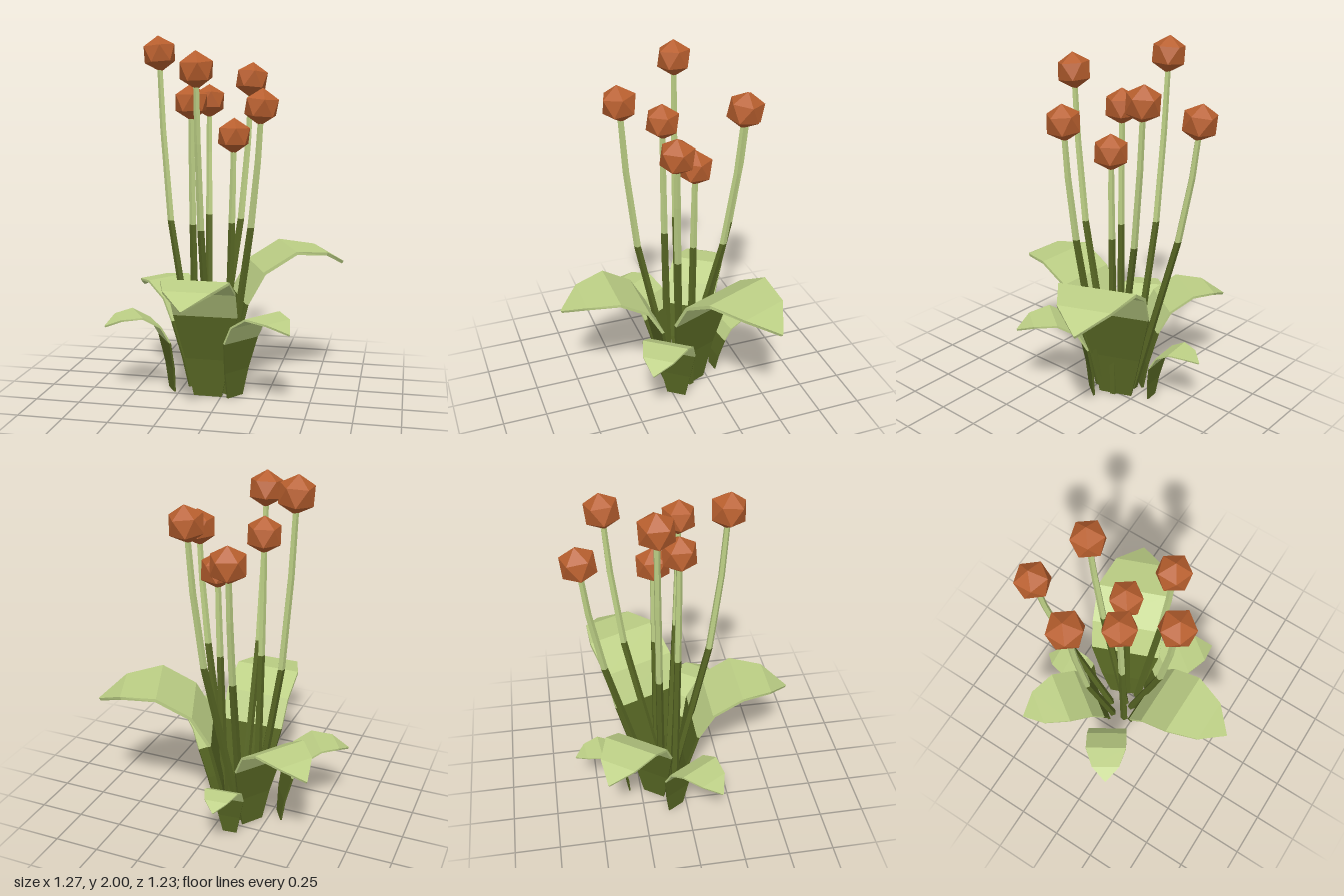
import * as THREE from 'three';

const mat = (name, color) =>
  Object.assign(new THREE.MeshStandardMaterial({ color, flatShading: true }), { name });

// Closed skin over rings of points; rings run counterclockwise about the path.
function loft(rings) {
  const pos = [];
  const tri = (...pts) => pts.forEach((p) => pos.push(p.x, p.y, p.z));
  const n = rings[0].length;
  for (let k = 0; k + 1 < rings.length; k++) {
    const r = rings[k], s = rings[k + 1];
    for (let i = 0; i < n; i++) {
      const j = (i + 1) % n;
      tri(r[i], r[j], s[j]);
      tri(r[i], s[j], s[i]);
    }
  }
  const a = rings[0], b = rings[rings.length - 1];
  for (let i = 1; i + 1 < n; i++) {
    tri(a[0], a[i + 1], a[i]);
    tri(b[0], b[i], b[i + 1]);
  }
  const g = new THREE.BufferGeometry();
  g.setAttribute('position', new THREE.Float32BufferAttribute(pos, 3));
  g.computeVertexNormals();
  return g;
}

// Leaf cross-sections: reach, height, half width
const LEAF = [
  [0, 0, 0.08], [0.02, 0.22, 0.125], [0.07, 0.48, 0.18], [0.155, 0.63, 0.185],
  [0.315, 0.725, 0.185], [0.485, 0.705, 0.125], [0.605, 0.635, 0.003],
];

function leafRings() {
  return LEAF.map(([z, y, w], i) => {
    const p = LEAF[Math.max(i - 1, 0)], q = LEAF[Math.min(i + 1, LEAF.length - 1)];
    const t = new THREE.Vector2(q[0] - p[0], q[1] - p[1]).normalize().multiplyScalar(0.008);
    const at = (sx, sn) => new THREE.Vector3(sx * w, y + sn * t.x, z - sn * t.y);
    return [at(1, -1), at(1, 1), at(-1, 1), at(-1, -1)];
  });
}

// Base x, base z, outward x, outward z, scale
const LEAVES = [
  [-0.075, 0.0, 0, 1, 1],
  [0.0, -0.145, 0.93, -0.37, 1.13],
  [0.074, -0.022, 0.8, 0.6, 0.7],
  [-0.3, -0.065, -0.85, 0.52, 0.64],
  [-0.175, -0.175, -0.82, -0.58, 0.82],
  [-0.1, -0.32, -0.1, -1, 0.49],
];

// Flower x, y, z, then stem base x, z
const FLOWERS = [
  [-0.385, 1.903, -0.165, -0.165, -0.13],
  [-0.08, 1.81, 0.235, -0.065, -0.05],
  [0.1, 1.76, -0.375, -0.06, -0.1],
  [0.225, 1.62, 0.035, 0.02, -0.06],
  [-0.18, 1.635, -0.52, -0.11, -0.18],
  [-0.17, 1.64, -0.025, -0.15, -0.05],
  [0.045, 1.455, -0.13, 0.01, -0.13],
];

export function createModel() {
  const root = new THREE.Group();
  root.name = 'floweringPlant';
  const dark = mat('darkGreen', 0x566523);
  const light = mat('lightGreen', 0xbccf85);
  const rust = mat('rust', 0xb85f2e);
  const add = (parent, name, geo, material) => {
    const m = new THREE.Mesh(geo, material);
    m.name = name;
    parent.add(m);
    return m;
  };

  // Arching leaves, dark towards the root
  const rings = leafRings();
  const leafBase = loft(rings.slice(0, 3));
  const leafBlade = loft(rings.slice(2));
  for (const [x, z, dx, dz, s] of LEAVES) {
    const leaf = new THREE.Group();
    leaf.name = 'leaf';
    add(leaf, 'leafBase', leafBase, dark);
    add(leaf, 'leafBlade', leafBlade, light);
    leaf.position.set(x, 0, z);
    leaf.rotation.y = Math.atan2(dx, dz);
    leaf.scale.setScalar(s);
    root.add(leaf);
  }

  // Round flower head with one corner pointing up
  const head = new THREE.IcosahedronGeometry(0.1, 0);
  head.rotateZ(-Math.atan(2 / (1 + Math.sqrt(5))));

  for (const [x, y, z, bx, bz] of FLOWERS) {
    const flower = new THREE.Group();
    flower.name = 'flower';

    // Stem leans straight out, then bends upright
    const ring = (h, f, r) => Array.from({ length: 5 }, (_, i) => {
      const a = (i / 5) * Math.PI * 2;
      return new THREE.Vector3(bx + (x - bx) * f + r * Math.sin(a), h, bz + (z - bz) * f + r * Math.cos(a));
    });
    const bend = ring(0.97, 0.72, 0.02);
    add(flower, 'lowerStem', loft([ring(0, 0, 0.024), bend]), dark);
    add(flower, 'upperStem', loft([bend, ring(0.97 + (y - 0.97) * 0.55, 0.91, 0.018), ring(y - 0.05, 0.99, 0.016)]), light);

    const ball = add(flower, 'flowerHead', head, rust);
    ball.position.set(x, y, z);
    ball.rotation.set((z - bz) * 0.4, 0, -(x - bx) * 0.4);
    root.add(flower);
  }
  return root;
}
